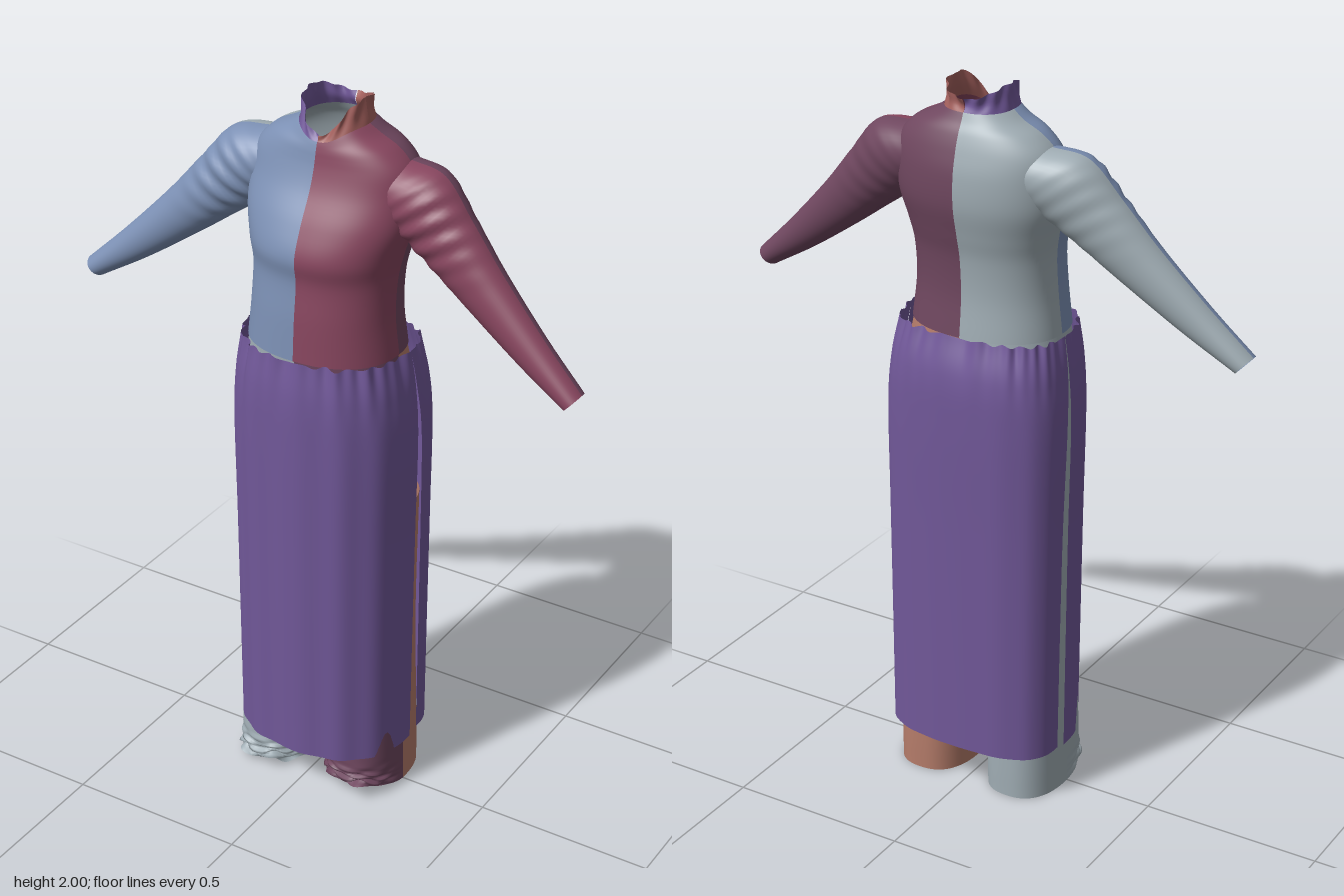
import * as THREE from 'three';

const mat = (name, color) => {
  const m = new THREE.MeshStandardMaterial({ color, side: THREE.DoubleSide });
  m.name = name;
  return m;
};

// Smoothly interpolates a table of cross-section rows, t = 0..1
function sampler(rows) {
  const size = rows[0].length;
  const curve = new THREE.CubicInterpolant(rows.map((_, i) => i), rows.flat(), size, new Float32Array(size));
  return t => Array.from(curve.evaluate(t * (rows.length - 1)));
}

// Surface grid from a function of (u around, v along)
function sheet(name, material, nu, nv, point) {
  const pos = [], index = [];
  for (let j = 0; j <= nv; j++) {
    for (let i = 0; i <= nu; i++) {
      pos.push(...point(i / nu, j / nv));
      if (i < nu && j < nv) {
        const a = j * (nu + 1) + i, b = a + nu + 1;
        index.push(a, a + 1, b, a + 1, b + 1, b);
      }
    }
  }
  const g = new THREE.BufferGeometry();
  g.setAttribute('position', new THREE.Float32BufferAttribute(pos, 3));
  g.setIndex(index);
  g.computeVertexNormals();
  const mesh = new THREE.Mesh(g, material);
  mesh.name = name;
  return mesh;
}

// Front or back cloth panel; rows are [y, centreX, halfWidth, zFront, zBack, zSeam]
function panel(name, material, rows, { side = 1, front = true, arc = Math.PI, e = 2.3, nu = 32, nv = 40, tweak }) {
  const at = sampler(rows);
  return sheet(name, material, nu, nv, (u, v) => {
    const [y, cx, hw, zf, zb, zc] = at(v);
    const a = u * arc, c = Math.cos(a), s = Math.max(0, Math.sin(a));
    const px = Math.sign(c) * Math.abs(c) ** (2 / e), pz = s ** (2 / e);
    const p = { y, grow: 0 };
    if (tweak) tweak(p, u, v, s);
    return [
      side * (cx + (hw + p.grow) * px),
      p.y,
      zc + ((front ? zf - zc : zb - zc) + (front ? p.grow : -p.grow)) * pz,
    ];
  });
}

export function createModel() {
  const blue = mat('blue cloth', 0x7c90b4);
  const maroon = mat('maroon cloth', 0x88465f);
  const grey = mat('pale grey cloth', 0xa0adb4);
  const plum = mat('plum cloth', 0x6f475f);
  const purple = mat('purple cloth', 0x715899);
  const salmon = mat('salmon cloth', 0xb57c6a);
  const rose = mat('rose cloth', 0xa25f5c);

  const model = new THREE.Group();
  model.name = 'dress';

  const bodiceRows = [
    [1.34, 0, 0.212, 0.175, -0.16, 0],
    [1.45, 0, 0.2, 0.168, -0.15, 0],
    [1.55, 0, 0.2, 0.158, -0.155, -0.01],
    [1.62, 0, 0.212, 0.165, -0.17, -0.02],
    [1.7, 0, 0.232, 0.135, -0.187, -0.03],
    [1.78, 0, 0.232, 0.092, -0.187, -0.04],
    [1.84, 0, 0.222, 0.07, -0.175, -0.045],
    [1.885, 0, 0.18, 0.062, -0.16, -0.05],
    [1.913, 0, 0.125, 0.058, -0.145, -0.05],
    [1.935, 0, 0.092, 0.055, -0.135, -0.045],
  ];
  const collarRows = [
    [1.93, 0, 0.093, 0.056, -0.136, -0.045],
    [1.965, 0, 0.083, 0.05, -0.128, -0.045],
    [2.0, 0, 0.082, 0.045, -0.134, -0.045],
  ];
  const legRows = [
    [0, 0.14, 0.105, 0.155, -0.155, 0],
    [0.13, 0.138, 0.105, 0.142, -0.155, 0],
    [0.5, 0.132, 0.103, 0.13, -0.15, 0],
    [0.88, 0.118, 0.118, 0.14, -0.165, 0],
  ];
  const hipRows = [
    [0.86, 0, 0.235, 0.14, -0.165, 0],
    [1.1, 0, 0.237, 0.155, -0.175, 0],
    [1.25, 0, 0.225, 0.165, -0.165, 0],
    [1.345, 0, 0.208, 0.17, -0.155, 0],
  ];
  // Sleeve rows are [x, y, z, half thickness, half depth], shoulder to wrist
  const sleeve = sampler([
    [0.14, 1.79, -0.055, 0.095, 0.09],
    [0.24, 1.765, -0.045, 0.105, 0.09],
    [0.34, 1.68, -0.03, 0.088, 0.075],
    [0.447, 1.582, -0.015, 0.07, 0.06],
    [0.59, 1.462, 0.005, 0.05, 0.047],
    [0.722, 1.362, 0.022, 0.031, 0.038],
  ]);

  for (const side of [1, -1]) {
    const label = side > 0 ? 'left' : 'right';
    for (const front of [true, false]) {
      const part = label + (front ? 'Front' : 'Back');
      const cloth = side > 0 ? (front ? maroon : plum) : (front ? blue : grey);
      const legCloth = side > 0 ? (front ? plum : salmon) : grey;

      // Bodice quarter with a dip at the front of the neck
      model.add(panel(part + 'Bodice', cloth, bodiceRows, {
        side, front, arc: Math.PI / 2, nu: 24, nv: 54,
        tweak: (p, u, v, s) => { if (front) p.y -= 0.035 * s ** 4 * Math.max(0, (v - 0.7) / 0.3); },
      }));

      // Rumpled stand collar
      model.add(panel(part + 'Collar', side > 0 ? rose : purple, collarRows, {
        side, front, arc: Math.PI / 2, nu: 24, nv: 8,
        tweak: (p, u, v, s) => {
          p.y -= front ? 0.035 * s ** 4 + v * 0.05 * s ** 3 : v * 0.03 * s * s;
          p.grow = 0.005 * v * Math.sin(u * 17 + side + v * 3);
        },
      }));

      // Sleeve half, creased near the armpit
      model.add(sheet(part + 'Sleeve', cloth, 22, 60, (u, v) => {
        const [x, y, z, r, d] = sleeve(v);
        const a = u * Math.PI, c = Math.cos(a), s = Math.sin(a);
        const near = Math.exp(-(((v - 0.33) / 0.15) ** 2)) * s;
        const k = 1 + 0.06 * near * Math.sin(v * 75 + u * 9) * (front ? 1 : 0.3);
        return [
          side * (x + 0.67 * r * c * k),
          y + 0.74 * r * c * k,
          z + (front ? 1 : -1) * d * s * k,
        ];
      }));

      // Trouser leg half, with a crumpled and lifted front hem
      model.add(panel(part + 'Leg', legCloth, legRows, {
        side, front, e: 2.5, nu: 36, nv: 60,
        tweak: (p, u, v, s) => {
          if (!front) return;
          const low = Math.max(0, 1 - v / 0.3);
          p.y += low * s * ((side > 0 ? 0.045 : 0.018) + 0.008 * Math.sin(u * 23));
          p.grow = low * s * 0.009 * (Math.sin(u * 21 + v * 45) + Math.sin(v * 90 - u * 13)) - 0.006 * low * s;
        },
      }));
      model.add(panel(part + 'Hip', legCloth, hipRows, { side, front, arc: Math.PI / 2, nu: 18, nv: 14 }));
    }
  }

  // Skirt panels, gathered at the waist and open along both side slits
  const gathers = (strength, longFold) => (p, u, v) => {
    const top = Math.max(0, (v - 0.62) / 0.38) ** 2;
    const wave = Math.sin(u * 95) * 0.6 + Math.sin(u * 57 + 1.3) * 0.5;
    p.grow = strength * top * wave + longFold * Math.sin(u * 41 + 0.6) * Math.sin(u * Math.PI);
    p.y += top * 0.004 * Math.sin(u * 70);
  };
  model.add(panel('skirtFront', purple, [
    [0.13, 0, 0.248, 0.2, 0, -0.028],
    [0.45, 0, 0.25, 0.203, 0, -0.028],
    [0.8, 0, 0.253, 0.205, 0, -0.028],
    [1.1, 0, 0.257, 0.206, 0, -0.027],
    [1.24, 0, 0.248, 0.203, 0, -0.026],
    [1.345, 0, 0.23, 0.19, 0, -0.025],
  ], { front: true, e: 2.4, nu: 160, nv: 60, tweak: gathers(0.006, 0.003) }));
  model.add(panel('skirtBack', purple, [
    [0.14, 0, 0.248, 0, -0.203, -0.062],
    [0.45, 0, 0.25, 0, -0.203, -0.06],
    [0.8, 0, 0.253, 0, -0.204, -0.056],
    [1.1, 0, 0.257, 0, -0.206, -0.045],
    [1.24, 0, 0.248, 0, -0.2, -0.032],
    [1.345, 0, 0.23, 0, -0.172, -0.025],
  ], { front: false, e: 2.8, nu: 160, nv: 60, tweak: gathers(0.005, 0.0008) }));

  return model;
}
